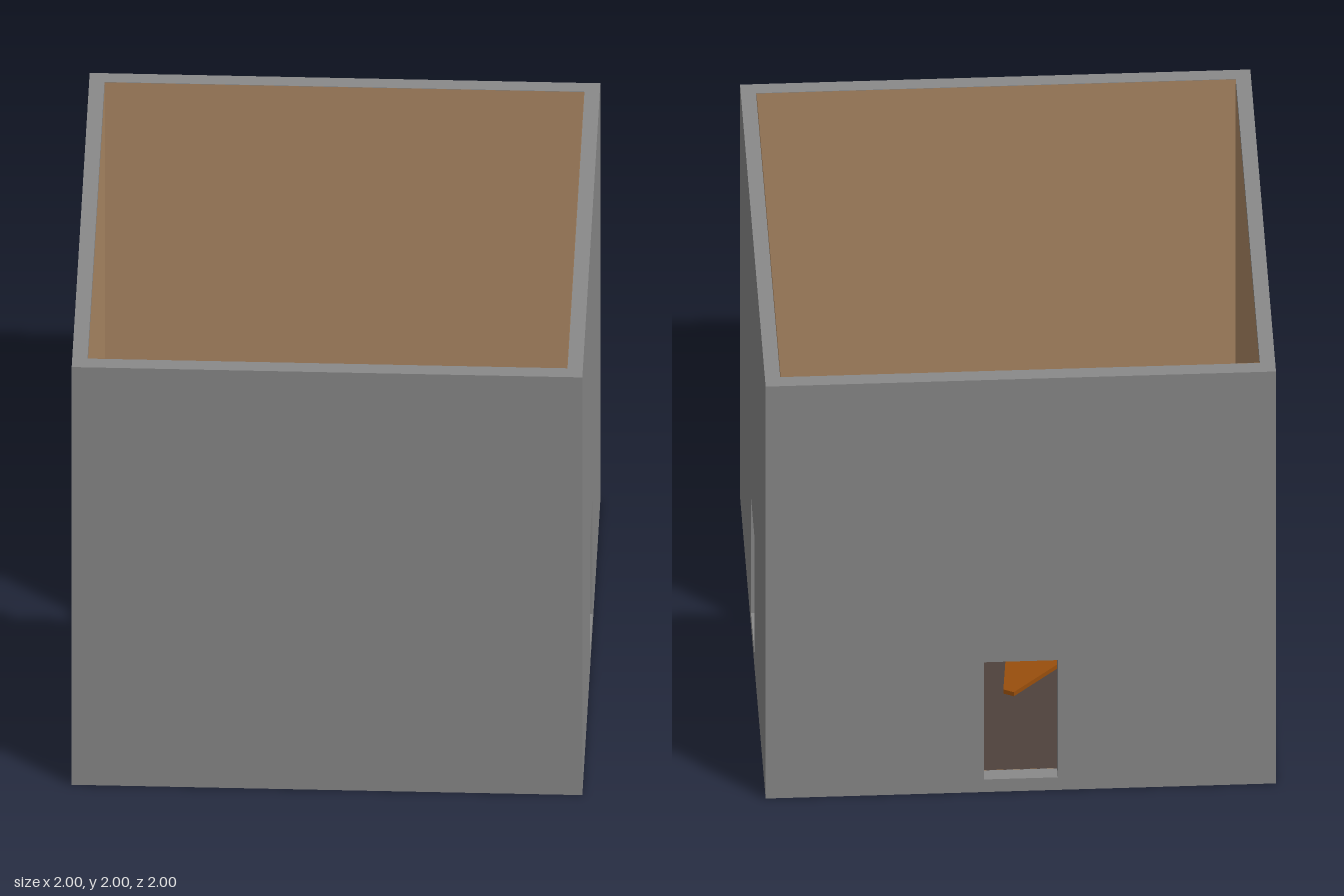
import * as THREE from 'three';

const mat = (name, color, side = THREE.FrontSide) => {
  const m = new THREE.MeshStandardMaterial({ color, side });
  m.name = name;
  return m;
};

export function createModel() {
  const stone = mat('grey stone', 0x898989);
  const plaster = mat('tan plaster', 0xac8864, THREE.DoubleSide);
  const floorWood = mat('dark floor wood', 0x4e413c);
  const lightWood = mat('light wood', 0x77665f);
  const orange = mat('orange fabric', 0x984e0c);

  const room = new THREE.Group();
  room.name = 'room';

  const add = (parent, name, geometry, material, x = 0, y = 0, z = 0) => {
    const mesh = new THREE.Mesh(geometry, material);
    mesh.name = name;
    mesh.position.set(x, y, z);
    parent.add(mesh);
    return mesh;
  };
  const box = (parent, name, w, h, d, material, x, y, z) =>
    add(parent, name, new THREE.BoxGeometry(w, h, d), material, x, y, z);
  const group = (name, x = 0, y = 0, z = 0, turn = 0) => {
    const g = new THREE.Group();
    g.name = name;
    g.position.set(x, y, z);
    g.rotation.y = turn;
    room.add(g);
    return g;
  };

  // Walls: a rectangle with an optional doorway, faced with plaster inside
  const T = 0.06, FLOOR = 0.06;
  const rect = (P, x0, x1, y0, y1) => {
    const p = new P();
    p.moveTo(x0, y0);
    p.lineTo(x1, y0);
    p.lineTo(x1, y1);
    p.lineTo(x0, y1);
    p.closePath();
    return p;
  };
  const wallShape = (half, y0, door) => {
    const s = rect(THREE.Shape, -half, half, y0, 2);
    if (door) s.holes.push(rect(THREE.Path, -0.145, 0.145, FLOOR + 0.001, 0.63));
    return s;
  };
  const wall = (name, turn, half, door) => {
    const g = group(name, 0, 0, 0, turn);
    const outer = new THREE.ExtrudeGeometry(wallShape(half, 0, door), { depth: T, bevelEnabled: false });
    add(g, name + ' stone', outer, stone, 0, 0, 1 - T);
    const lining = new THREE.ShapeGeometry(wallShape(1 - T, FLOOR, door));
    add(g, name + ' lining', lining, plaster, 0, 0, 1 - T - 0.002);
  };
  wall('front wall', 0, 1, false);
  wall('back wall', Math.PI, 1, true);
  wall('left wall', Math.PI / 2, 1 - T, true);
  wall('right wall', -Math.PI / 2, 1 - T, true);

  // Floor
  box(room, 'floor slab', 2 - 2 * T, FLOOR - 0.002, 2 - 2 * T, stone, 0, FLOOR / 2 - 0.001, 0);
  box(room, 'floor boards', 2 - 2 * T, 0.002, 2 - 2 * T, floorWood, 0, FLOOR - 0.001, 0);

  // Hide-shaped rug, outlined in x and z
  const hide = [
    [0, -0.455], [0.04, -0.435], [0.02, -0.22], [0.39, -0.055], [0.475, -0.045], [0.475, -0.02],
    [0.28, 0.09], [0.2, 0.19], [0.16, 0.42], [0.13, 0.42], [0.105, 0.335], [-0.18, 0.07],
    [-0.325, 0.195], [-0.38, 0.17], [-0.295, -0.1], [-0.365, -0.205], [-0.35, -0.245], [-0.21, -0.25],
  ].map(([x, z]) => new THREE.Vector2(x, -z));
  const rug = new THREE.ExtrudeGeometry(new THREE.Shape(hide), { depth: 0.02, bevelEnabled: false });
  rug.rotateX(-Math.PI / 2);
  add(room, 'rug', rug, orange, 0, FLOOR, 0);

  // Four legs under a rectangular top
  const legs = (g, spread, height, size) => {
    for (const sx of [-1, 1]) for (const sz of [-1, 1])
      box(g, 'leg', size, height, size, floorWood, sx * spread, height / 2, sz * spread);
  };

  // Chairs, facing local +z
  const chair = (x, z, turn, hasBack = true) => {
    const g = group(hasBack ? 'chair' : 'stool', x, FLOOR, z, turn);
    legs(g, 0.064, 0.19, 0.017);
    box(g, 'seat', 0.15, 0.022, 0.15, floorWood, 0, 0.2, 0);
    if (!hasBack) return;
    box(g, 'chair back', 0.15, 0.185, 0.013, floorWood, 0, 0.3025, -0.0685);
    box(g, 'back rail', 0.15, 0.005, 0.013, lightWood, 0, 0.3975, -0.0685);
  };
  chair(-0.665, 0.1, 0.58);
  chair(-0.685, 0.61, 1.77);
  chair(-0.1, 0.685, -2.11);
  chair(0.27, 0.685, 1.65, false);

  // Round table
  const table = group('round table', -0.385, FLOOR, 0.5);
  const top = new THREE.CylinderGeometry(0.29, 0.29, 0.025, 20).toNonIndexed();
  top.computeVertexNormals();
  add(table, 'table top', top, lightWood, 0, 0.3275, 0);
  add(table, 'table post', new THREE.CylinderGeometry(0.035, 0.035, 0.3, 12), lightWood, 0, 0.165, 0);
  add(table, 'table foot', new THREE.CylinderGeometry(0.13, 0.15, 0.02, 20), lightWood, 0, 0.01, 0);

  // Square side table
  const side = group('square table', 0.525, FLOOR, 0.607);
  legs(side, 0.14, 0.3, 0.025);
  box(side, 'square top', 0.313, 0.02, 0.313, floorWood, 0, 0.31, 0);

  // Chequered board lying askew on the square table
  const board = group('game board', 0.535, FLOOR + 0.32, 0.63, -0.48);
  const S = 0.246, cell = S / 8;
  box(board, 'board base', S, 0.012, S, floorWood, 0, 0.006, 0);
  for (let i = 0; i < 8; i++) for (let j = i % 2; j < 8; j += 2)
    box(board, 'board square', cell, 0.003, cell, orange, (i - 3.5) * cell, 0.0135, (j - 3.5) * cell);

  // Ribbed heater by the left wall
  const heater = group('heater', 0.8625, FLOOR, 0.7);
  const fins = 12, pitch = 0.42 / fins;
  for (let i = 0; i < fins; i++)
    box(heater, 'fin', 0.125, 0.3, pitch * 0.62, stone, 0, 0.17, (i - (fins - 1) / 2) * pitch);
  for (const y of [0.06, 0.27]) box(heater, 'heater pipe', 0.1, 0.03, 0.4, stone, 0, y, 0);

  return room;
}
